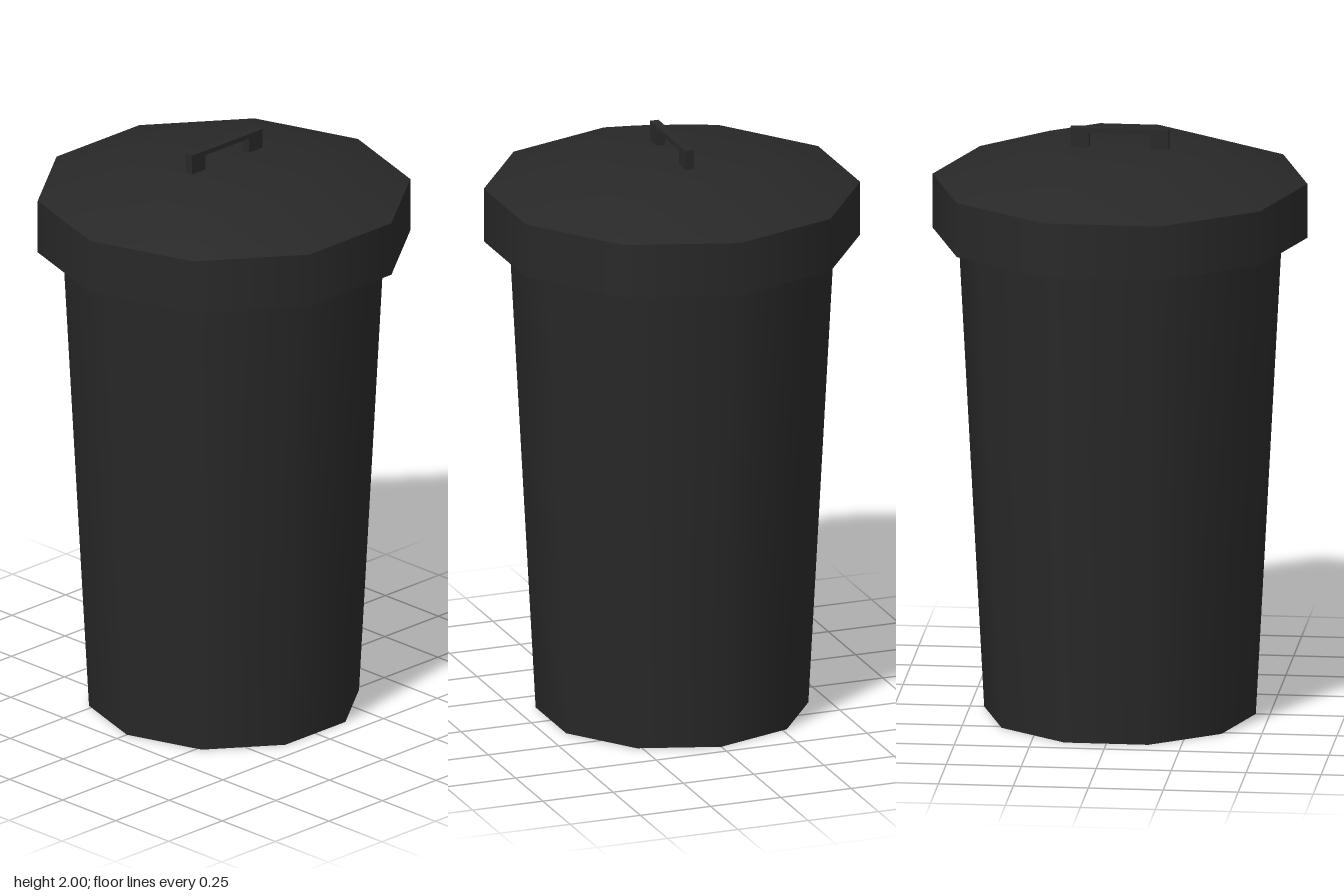
import * as THREE from 'three';

const SIDES = 10;

export function createModel() {
  const model = new THREE.Group();
  const material = new THREE.MeshStandardMaterial({ color: 0x282828 });

  const add = (parent, name, geometry, x = 0, y = 0) => {
    const mesh = new THREE.Mesh(geometry, material);
    mesh.name = name;
    mesh.position.set(x, y, 0);
    parent.add(mesh);
  };

  // Ten-sided surface with corners on the x axis
  const turned = (points) => new THREE.LatheGeometry(
    points.map(([r, y]) => new THREE.Vector2(r, y)), SIDES, Math.PI / 2);

  // Tapered body with a flat base
  const body = new THREE.Group();
  body.name = 'body';
  add(body, 'bodyWall', turned([[0.453, 0], [0.54, 1.64]]));
  add(body, 'bodyBase', turned([[0, 0], [0.453, 0]]));

  // Lid: underside lip, upright rim and shallow crown
  const lid = new THREE.Group();
  lid.name = 'lid';
  add(lid, 'lidLip', turned([[0.54, 1.64], [0.625, 1.64]]));
  add(lid, 'lidRim', turned([[0.625, 1.64], [0.625, 1.825]]));
  add(lid, 'lidCrown', turned([[0.625, 1.825], [0.315, 1.933], [0, 1.933]]));

  // Handle: two posts joined by a thin bar
  const handle = new THREE.Group();
  handle.name = 'handle';
  for (const side of [-1, 1]) {
    add(handle, side > 0 ? 'handlePostLeft' : 'handlePostRight',
      new THREE.BoxGeometry(0.062, 0.067, 0.03), side * 0.133, 1.9665);
  }
  add(handle, 'handleBar', new THREE.BoxGeometry(0.204, 0.016, 0.03), 0, 1.992);

  model.add(body, lid, handle);
  return model;
}
